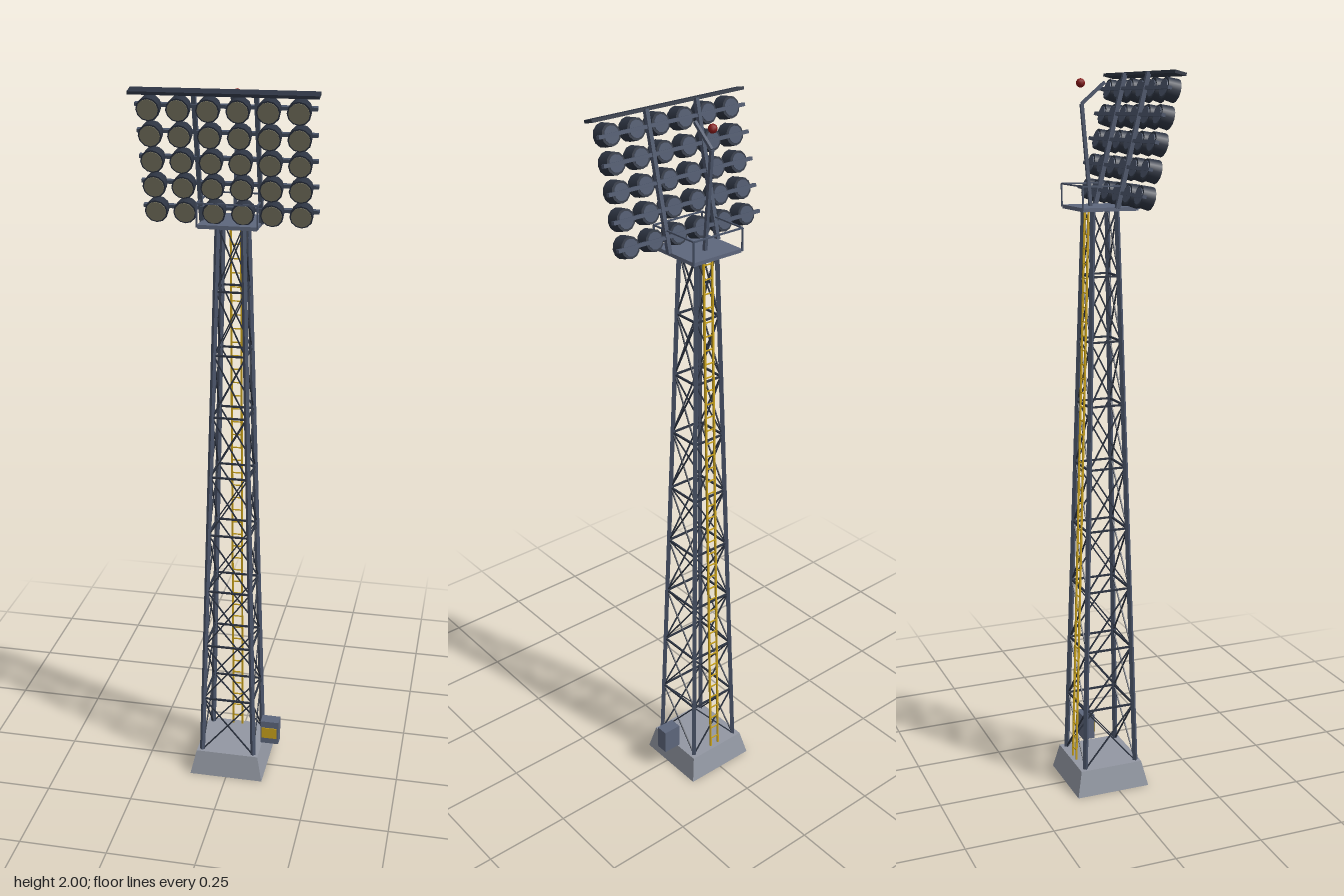
import * as THREE from 'three';

const mat = (name, color) => {
  const m = new THREE.MeshStandardMaterial({ color });
  m.name = name;
  return m;
};

export function createModel() {
  const concrete = mat('concrete', 0x9297a2);
  const steel = mat('steel', 0x4a5469);
  const dark = mat('dark steel', 0x2d3442);
  const deck = mat('painted plate', 0x5d667c);
  const yellow = mat('safety yellow', 0xc9a21c);
  const lens = mat('lamp lens', 0x7b7864);
  const red = mat('beacon red', 0x841818);
  const root = new THREE.Group();
  root.name = 'floodlightTower';
  const CZ = -0.015; // tower axis
  const V = (x, y, z) => new THREE.Vector3(x, y, z);

  const group = (name, parent = root) => {
    const g = new THREE.Group();
    g.name = name;
    parent.add(g);
    return g;
  };
  const add = (parent, name, geo, material, x = 0, y = 0, z = 0) => {
    const m = new THREE.Mesh(geo, material);
    m.name = name;
    m.position.set(x, y, z);
    parent.add(m);
    return m;
  };
  const box = (parent, name, w, h, d, material, x, y, z) =>
    add(parent, name, new THREE.BoxGeometry(w, h, d), material, x, y, z);
  // Square bar between two points
  const beam = (parent, name, a, b, t, material) => {
    const m = box(parent, name, t, t, a.distanceTo(b), material, 0, 0, 0);
    m.position.copy(a).add(b).multiplyScalar(0.5);
    m.lookAt(b);
    return m;
  };

  // Foundation: tapered block
  const base = new THREE.CylinderGeometry(0.092 * Math.SQRT2, 0.108 * Math.SQRT2, 0.072, 4, 1).toNonIndexed();
  base.rotateY(Math.PI / 4);
  base.computeVertexNormals();
  add(root, 'foundation', base, concrete, 0, 0.036, CZ - 0.002);

  // Lattice tower
  const Y0 = 0.07, Y1 = 1.647, bays = 9;
  const half = y => 0.077 + (0.034 - 0.077) * (y - Y0) / (Y1 - Y0);
  const signs = [[1, 1], [1, -1], [-1, -1], [-1, 1]];
  const corner = (i, y) => {
    const [sx, sz] = signs[i % 4];
    return V(sx * half(y), y, CZ + sz * half(y));
  };
  const tower = group('tower');
  for (let i = 0; i < 4; i++) {
    beam(tower, 'leg', corner(i, Y0), corner(i, Y1), 0.011, steel);
    for (let b = 0; b < bays; b++) {
      const lo = Y0 + (Y1 - Y0) * b / bays;
      const hi = Y0 + (Y1 - Y0) * (b + 1) / bays;
      beam(tower, 'diagonalBrace', corner(i, lo), corner(i + 1, hi), 0.0035, dark);
      beam(tower, 'diagonalBrace', corner(i + 1, lo), corner(i, hi), 0.0035, dark);
      beam(tower, 'horizontalBrace', corner(i, hi), corner(i + 1, hi), 0.005, dark);
    }
  }

  // Ladder on the rear face
  const ladder = group('ladder');
  const ladderZ = y => CZ - half(y) - 0.004;
  for (const s of [-1, 1])
    beam(ladder, 'ladderRail', V(s * 0.014, Y0, ladderZ(Y0)), V(s * 0.014, Y1, ladderZ(Y1)), 0.005, yellow);
  for (let i = 0; i < 40; i++) {
    const y = 0.1 + i * 0.039;
    box(ladder, 'rung', 0.028, 0.003, 0.003, yellow, 0, y, ladderZ(y));
  }

  // Control cabinet with yellow front plate
  const cabinet = group('controlCabinet');
  box(cabinet, 'cabinetBody', 0.054, 0.074, 0.036, deck, 0.115, 0.113, -0.017);
  box(cabinet, 'cabinetPlate', 0.046, 0.034, 0.003, yellow, 0.114, 0.112, 0.002);

  // Service platform with guard rail
  const platform = group('platform');
  box(platform, 'platformDeck', 0.156, 0.01, 0.156, deck, 0, 1.651, CZ);
  const railPoint = (i, y) => V(signs[i % 4][0] * 0.079, y, CZ + signs[i % 4][1] * 0.079);
  for (let i = 0; i < 4; i++) {
    beam(platform, 'railPost', railPoint(i, 1.65), railPoint(i, 1.711), 0.004, steel);
    beam(platform, 'guardRail', railPoint(i, 1.711), railPoint(i + 1, 1.711), 0.004, steel);
  }

  // Leaning mast, arm and warning beacon
  const mast = group('mast');
  const elbow = V(0, 1.918, -0.066);
  beam(mast, 'mastPole', V(0, 1.655, -0.042), elbow, 0.009, steel);
  beam(mast, 'mastArm', elbow, V(0, 1.972, -0.002), 0.008, steel);
  add(mast, 'beacon', new THREE.IcosahedronGeometry(0.012, 1), red, 0, 1.97, -0.069);

  // Lamp bank tilted forward and down
  const bank = group('lampBank');
  bank.position.set(0, 1.692, 0.014);
  bank.rotation.x = THREE.MathUtils.degToRad(14);
  for (const s of [-1, 1])
    box(bank, 'bankPost', 0.011, 0.355, 0.012, steel, s * 0.079, 0.137, -0.002);
  box(bank, 'topVisor', 0.477, 0.008, 0.032, dark, 0, 0.313, 0.016);

  const disc = (rFront, rBack, depth) =>
    new THREE.CylinderGeometry(rFront, rBack, depth, 12).rotateX(Math.PI / 2);
  const shell = disc(0.0305, 0.028, 0.034);
  const backCap = disc(0.022, 0.022, 0.003);
  const glass = disc(0.0265, 0.0265, 0.003);
  for (let r = 0; r < 5; r++) {
    const y = r * 0.0683;
    box(bank, 'crossBar', 0.46, 0.009, 0.011, steel, 0, y, 0);
    for (let c = 0; c < 6; c++) {
      const x = (c - 2.5) * 0.0755;
      add(bank, 'lampHousing', shell, dark, x, y, 0.019);
      add(bank, 'lampBackCap', backCap, steel, x, y, 0.001);
      add(bank, 'lampLens', glass, lens, x, y, 0.0365);
    }
  }
  return root;
}
